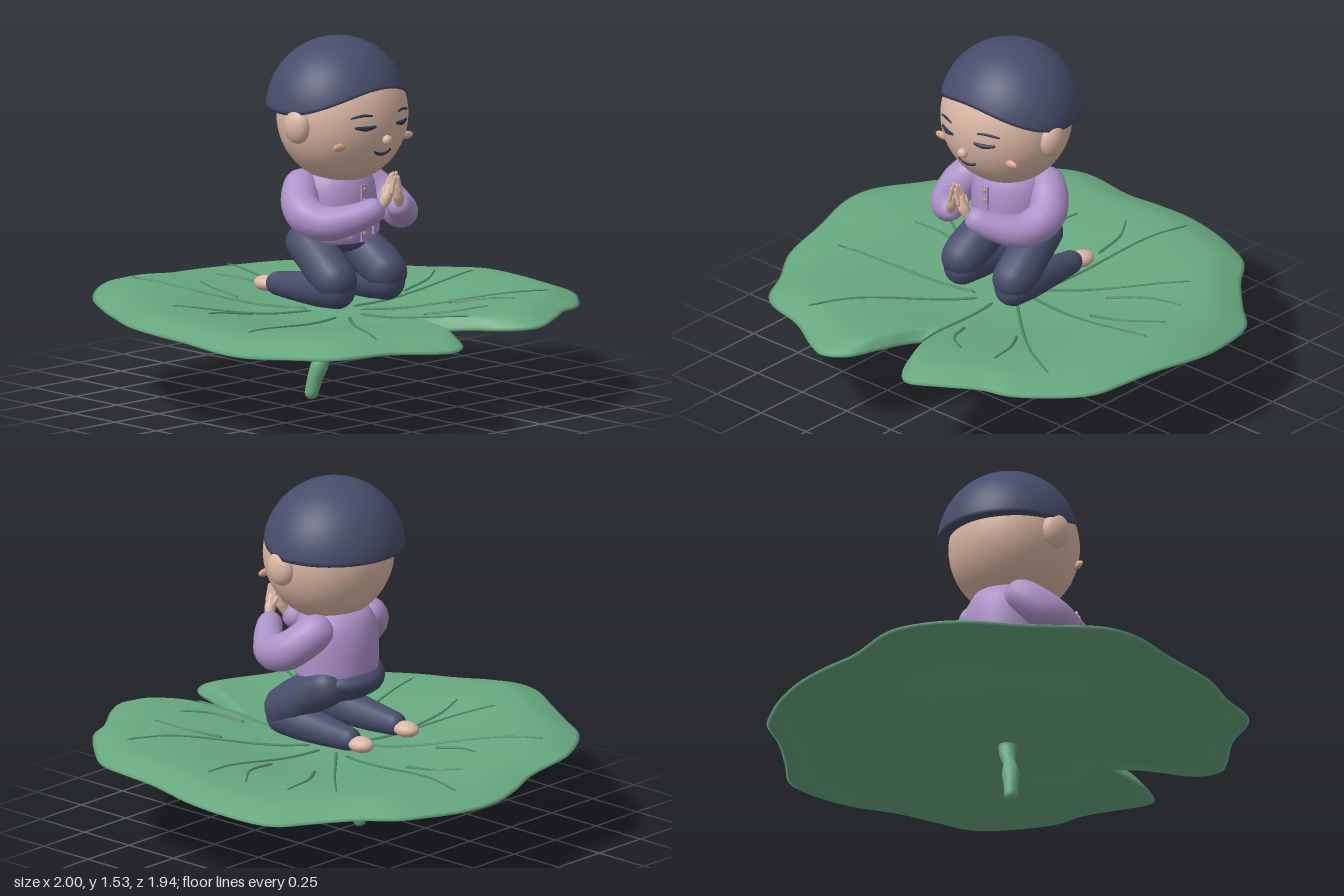
import * as THREE from 'three';
import { mergeVertices } from 'three/addons/utils/BufferGeometryUtils.js';
import { ParametricGeometry } from 'three/addons/geometries/ParametricGeometry.js';

const material = (name, color) => Object.assign(new THREE.MeshStandardMaterial({ color }), { name });
const V = (x, y, z) => new THREE.Vector3(x, y, z);
const { smoothstep, lerp, clamp } = THREE.MathUtils;

// Leaf outline seen from above (x, z), starting at the notch
const OUTLINE = [
  [.04, .59], [.085, .68], [.18, .88], [.28, .965], [.41, .915], [.57, .81], [.67, .775], [.81, .64],
  [.915, .5], [.945, .35], [.965, .19], [.998, -.05], [.97, -.24], [.9, -.45], [.78, -.56], [.65, -.69],
  [.54, -.83], [.43, -.89], [.27, -.95], [.1, -.975], [-.05, -.95], [-.18, -.91], [-.4, -.9], [-.53, -.84],
  [-.69, -.71], [-.8, -.535], [-.89, -.375], [-.985, -.19], [-.998, -.05], [-.96, .13], [-.915, .375],
  [-.8, .56], [-.715, .72], [-.635, .785], [-.45, .84], [-.29, .93], [-.2, .962], [-.11, .91],
  [-.05, .785], [.005, .64],
];
// Leaf veins: start, middle, end (x, z); nine long ones, then seven short ones
const VEINS = [
  [-.435, -.75, -.32, -.48, -.05, -.09], [.21, -.85, .155, -.615, .1, -.12],
  [.555, -.49, .38, -.32, .08, -.05], [.785, .03, .57, .05, .11, .01],
  [.71, .56, .51, .45, .09, .08], [.12, .705, .075, .53, .025, .15],
  [-.465, .765, -.34, .535, -.05, .16], [-.74, .27, -.53, .23, -.09, .13],
  [-.66, -.27, -.45, -.16, -.07, -.04], [-.18, -.6, -.2, -.5, -.18, -.37],
  [0, -.695, .06, -.59, .075, -.44], [.66, -.31, .49, -.27, .35, -.18],
  [.73, -.14, .59, -.04, .42, -.005], [.46, .625, .42, .48, .34, .35],
  [.29, .64, .18, .56, .12, .43], [-.63, -.08, -.5, -.11, -.35, -.1],
];

// Height of the leaf's upper side
function leafTop(x, z) {
  const r = Math.hypot(x, z), a = Math.atan2(z, x);
  const wave = .012 * Math.sin(6 * a + 1) + .03 * Math.sin(2 * a) - .01 * Math.cos(a);
  return .37 + .06 * smoothstep(r, .2, .8) + r * r * wave;
}

function smooth(geometry) {
  geometry.deleteAttribute('normal');
  geometry.deleteAttribute('uv');
  const merged = mergeVertices(geometry, 1e-5);
  merged.computeVertexNormals();
  return merged;
}

// Rounded tube whose radius follows the given list
function limb(points, radii, segments = 40, sides = 16) {
  const curve = new THREE.CatmullRomCurve3(points.map((p) => V(...p)));
  const length = curve.getLength();
  const geo = new THREE.TubeGeometry(curve, segments, 1, sides);
  const pos = geo.attributes.position, v = V(0, 0, 0);
  for (let i = 0; i <= segments; i++) {
    const u = i / segments, c = curve.getPointAt(u);
    const f = u * (radii.length - 1), k = Math.min(Math.floor(f), radii.length - 2);
    let r = lerp(radii[k], radii[k + 1], f - k);
    const d = clamp(1 - Math.min(u, 1 - u) * length / r, 0, 1);
    r *= Math.sqrt(1 - d * d);
    for (let j = 0; j <= sides; j++) {
      const n = i * (sides + 1) + j;
      v.fromBufferAttribute(pos, n).sub(c).multiplyScalar(r).add(c);
      pos.setXYZ(n, v.x, v.y, v.z);
    }
  }
  return smooth(geo);
}

function leafGeometry() {
  const edge = new THREE.CatmullRomCurve3(OUTLINE.map(([x, z]) => V(x, 0, z)), true).getPoints(200);
  const cx = .03, cz = .04;
  // Rows run out along the underside, round the rim and back over the top
  return smooth(new ParametricGeometry((u, v, p) => {
    const e = edge[Math.round(u * 200) % 200];
    const t = Math.min(1, 1.02 * (1 - Math.abs(2 * v - 1)));
    const x = cx + (e.x - cx) * t, z = cz + (e.z - cz) * t;
    const curl = .032 * Math.pow(smoothstep(t, .82, 1), 1.5);
    const full = lerp(.07, .036, t);
    const thick = full * Math.sqrt(Math.max(0, 1 - Math.pow(t, 16)));
    const rim = (full - thick) / 2;
    p.set(x, leafTop(x, z) - curl - rim - (v < .5 ? thick : 0), z);
  }, 200, 60));
}

export function createModel() {
  const leafGreen = material('leaf green', 0x67a880);
  const veinGreen = material('vein green', 0x4c8a64);
  const skin = material('skin', 0xdab6a4);
  const blush = material('blush', 0xdba894);
  const lilac = material('lilac cloth', 0xac92c9);
  const navy = material('navy', 0x474d6b);
  const ink = material('dark ink', 0x2b3450);
  const gold = material('button gold', 0xc9a070);

  const model = new THREE.Group();
  const figure = new THREE.Group();
  figure.name = 'kneelingFigure';
  figure.position.x = .012;
  const add = (parent, name, geometry, mat) => {
    const mesh = new THREE.Mesh(geometry, mat);
    mesh.name = name;
    parent.add(mesh);
    return mesh;
  };
  const ball = (name, mat, [x, y, z], [sx, sy, sz], detail = 24) => {
    const mesh = add(figure, name, new THREE.SphereGeometry(1, detail, Math.ceil(detail * .7)), mat);
    mesh.position.set(x, y, z);
    mesh.scale.set(sx, sy, sz);
  };

  // Leaf, veins and stem
  add(model, 'leaf', leafGeometry(), leafGreen);
  for (const [a, b, c, d, e, f] of VEINS) {
    const path = new THREE.CatmullRomCurve3([V(a, 0, b), V(c, 0, d), V(e, 0, f)]).getPoints(10);
    add(model, 'vein', limb(path.map((p) => [p.x, leafTop(p.x, p.z) + .001, p.z]), [.004, .006, .008], 28, 6), veinGreen);
  }
  add(model, 'stem', limb(
    [[-.088, 0, -.035], [-.068, .1, -.02], [-.03, .2, 0], [0, .255, .012], [.01, .285, .02], [.015, .34, .02]],
    [.027, .031, .037, .026, .036, .042], 48), leafGreen);

  // Head and hair cap
  ball('head', skin, [0, 1.21, .055], [.278, .286, .27], 48);
  add(figure, 'hair', smooth(new ParametricGeometry((u, v, p) => {
    const a = u * Math.PI * 2, R = .296;
    const low = .005 + .105 * Math.pow(Math.max(0, Math.cos(a)), 2);
    const polar = Math.acos(low / R) * (1 - Math.max(0, v - .08) / .92);
    const r = R * Math.sin(polar) * (v < .04 ? .84 : 1);
    p.set(1.025 * r * Math.sin(a), 1.235 + R * Math.cos(polar), .025 + .98 * r * Math.cos(a));
  }, 64, 26)), navy);

  // Face: features follow the curve of the head
  const onFace = (x, y) => [x, y, .055 + .27 * Math.sqrt(1 - (x / .278) ** 2 - ((y - 1.21) / .286) ** 2)];
  const stroke = (name, pts, radii) => add(figure, name, limb(pts.map((p) => onFace(...p)), radii, 24, 8), ink);
  for (const s of [-1, 1]) {
    ball('ear', skin, [s * .272, 1.197, .07], [.046, .076, .066]);
    stroke('closedEye', [[s * .055, 1.2], [s * .1, 1.194], [s * .148, 1.2]], [.006, .011, .006]);
    stroke('eyebrow', [[s * .07, 1.246], [s * .115, 1.249], [s * .162, 1.239]], [.004, .006, .004]);
    ball('cheek', blush, [s * .19, 1.118, .24], [.037, .017, .012], 16);
  }
  stroke('mouth', [[-.048, 1.09], [-.025, 1.077], [0, 1.073], [.025, 1.077], [.048, 1.09]], [.005, .008, .005]);
  ball('nose', skin, [0, 1.135, .325], [.023, .022, .02], 16);

  // Jacket body lofted from oval sections: height, half width, half depth
  const sections = [[.69, .12, .11], [.68, .178, .163], [.74, .18, .17], [.84, .18, .172], [.92, .17, .16], [.975, .135, .13], [1.01, .06, .06]];
  add(figure, 'jacket', smooth(new ParametricGeometry((u, v, p) => {
    const f = v * 6, k = Math.min(5, Math.floor(f)), a = u * Math.PI * 2;
    const [y, rx, rz] = sections[k].map((n, i) => lerp(n, sections[k + 1][i], f - k));
    p.set(rx * Math.sin(a), y, .01 + rz * Math.cos(a));
  }, 48, 12)), lilac);
  const placket = add(figure, 'placket', new THREE.BoxGeometry(.03, .24, .009), lilac);
  placket.position.set(0, .805, .184);
  for (let i = 0; i < 5; i++) ball('button', gold, [0, .72 + i * .047, .189], [.009, .009, .006], 10);

  for (const s of [-1, 1]) {
    // Pocket and flap
    for (const [y, h, d] of [[.735, .055, .002], [.768, .016, .006]]) {
      const pocket = add(figure, 'pocket', new THREE.BoxGeometry(.075, h, .009), lilac);
      pocket.position.set(s * .093, y, .156 + d);
      pocket.rotation.y = s * .52;
    }
    // Sleeve
    add(figure, 'sleeve', limb(
      [[s * .1, .95, -.05], [s * .178, .895, -.01], [s * .235, .825, .07], [s * .21, .79, .18], [s * .125, .82, .28], [s * .035, .87, .345]],
      [.07, .08, .081, .072, .06, .048]), lilac);
    // Praying hand: palm, fingers and thumb
    add(figure, 'palm', limb([[s * .06, .845, .335], [s * .034, .9, .355], [s * .013, .96, .36]], [.018, .024, .015], 20, 10), skin);
    for (let i = 0; i < 4; i++) {
      const z = .342 + i * .012, tip = [.985, 1.005, 1.012, .995][i];
      add(figure, 'finger', limb([[s * .028, .915, z], [s * .016, .96, z], [s * .007, tip, z + .003]], [.009, .009, .007], 16, 8), skin);
    }
    add(figure, 'thumb', limb([[s * .04, .89, .35], [s * .03, .925, .335], [s * .014, .952, .33]], [.01, .01, .008], 16, 8), skin);
    // Folded leg and bare foot
    add(figure, 'thigh', limb(
      [[s * .105, .7, -.12], [s * .125, .635, .02], [s * .142, .555, .14], [s * .142, .485, .24]],
      [.08, .09, .094, .085]), navy);
    add(figure, 'shin', limb(
      [[s * .142, .5, .248], [s * .142, .495, .14], [s * .138, .483, 0], [s * .138, .472, -.24]],
      [.08, .078, .062, .045]), navy);
    ball('foot', skin, [s * .138, .465, -.255], [.047, .033, .06]);
  }
  ball('hips', navy, [0, .68, -.025], [.175, .07, .163], 32);

  model.add(figure);
  return model;
}
